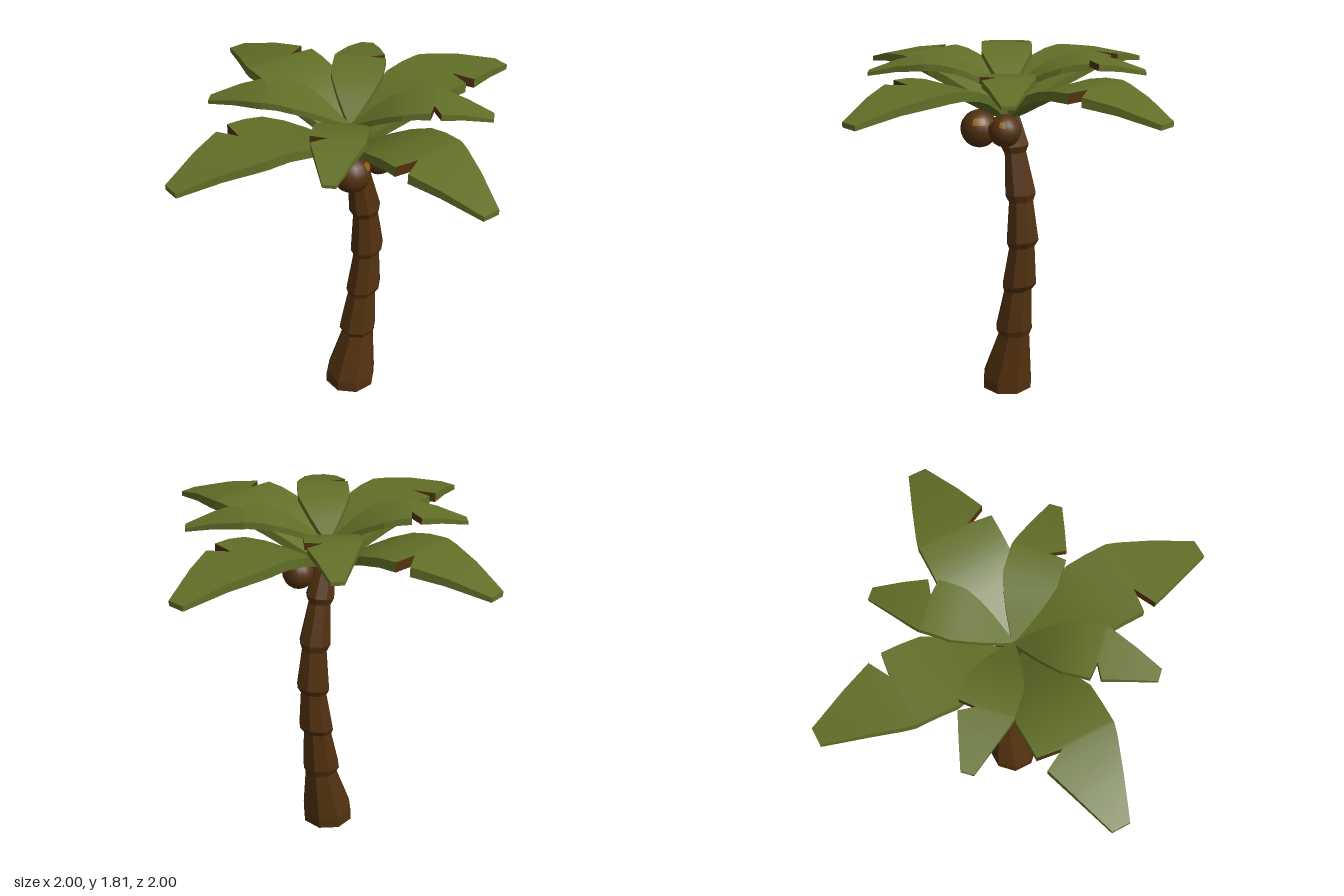
import * as THREE from 'three';

const mat = (name, color, flatShading = false) => {
  const m = new THREE.MeshStandardMaterial({ color, flatShading });
  m.name = name;
  return m;
};

// Trunk rings, bottom to top: height, z of the centre, radius, tilt
const RINGS = [
  [0, 0, 0.138, 0], [0.06, -0.003, 0.138, 0],
  [0.33, -0.055, 0.085, 0.05], [0.365, -0.052, 0.102, 0.05],
  [0.59, -0.08, 0.076, 0.15], [0.625, -0.09, 0.094, 0.15],
  [0.84, -0.108, 0.07, 0.17], [0.875, -0.112, 0.088, 0.17],
  [1.09, -0.1, 0.066, 0.1], [1.13, -0.095, 0.083, 0.1],
  [1.34, -0.058, 0.058, 0.15], [1.375, -0.055, 0.074, 0.15],
  [1.56, -0.005, 0.048, 0],
];

function trunkGeometry() {
  const n = RINGS.length - 1;
  const g = new THREE.CylinderGeometry(1, 1, 1, 8, n, false, Math.PI / 8);
  const p = g.attributes.position;
  for (let i = 0; i < p.count; i++) {
    const [y, z, r, tilt] = RINGS[Math.round((p.getY(i) + 0.5) * n)];
    const pz = p.getZ(i) * r;
    p.setXYZ(i, p.getX(i) * r, y - pz * tilt, z + pz);
  }
  g.computeVertexNormals();
  return g;
}

// Frond cross-sections: distance out, top height, thickness, half width on each side
const SECTIONS = [
  [0, 0.035, 0.045, 0.01, 0.01],
  [0.08, 0.08, 0.045, 0.055, 0.055],
  [0.18, 0.145, 0.045, 0.11, 0.11],
  [0.28, 0.2, 0.045, 0.155, 0.155],
  [0.38, 0.24, 0.045, 0.19, 0.19],
  [0.48, 0.262, 0.048, 0.19, 0.19],
  [0.575, 0.268, 0.05, 0.19, 0.19],
  [0.59, 0.267, 0.05, 0.19, 0.07],
  [0.645, 0.26, 0.048, 0.175, 0.175],
  [0.8, 0.234, 0.04, 0.12, 0.12],
  [1, 0.175, 0.025, 0.045, 0.045],
];
const NOTCH = [6, 7]; // spans that form the tear in the edge

function frondGeometry() {
  const pos = [], leaf = [], torn = [];
  const add = (...pts) => {
    const k = pos.length / 3;
    pts.forEach((q) => pos.push(...q));
    return k;
  };
  const quad = (list, a, b, c, d) => list.push(a, b, c, a, c, d);
  const corners = SECTIONS.map(([x, y, t, a, b]) => ({
    tr: [x, y, -a], tl: [x, y, b], br: [x, y - t, -a], bl: [x, y - t, b],
  }));
  // Smooth top and underside
  const top = corners.map((c) => add(c.tr, c.tl));
  const under = corners.map((c) => add(c.br, c.bl));
  for (let i = 0; i < corners.length - 1; i++) {
    const c = corners[i], d = corners[i + 1];
    quad(leaf, top[i], top[i] + 1, top[i + 1] + 1, top[i + 1]);
    quad(leaf, under[i], under[i + 1], under[i + 1] + 1, under[i] + 1);
    // Sharp side walls
    let k = add(c.bl, d.bl, d.tl, c.tl);
    quad(NOTCH.includes(i) ? torn : leaf, k, k + 1, k + 2, k + 3);
    k = add(d.br, c.br, c.tr, d.tr);
    quad(leaf, k, k + 1, k + 2, k + 3);
  }
  // Blunt tip
  const e = corners[corners.length - 1];
  const k = add(e.bl, e.br, e.tr, e.tl);
  quad(leaf, k, k + 1, k + 2, k + 3);

  const g = new THREE.BufferGeometry();
  g.setAttribute('position', new THREE.Float32BufferAttribute(pos, 3));
  g.setIndex([...leaf, ...torn]);
  g.addGroup(0, leaf.length, 0);
  g.addGroup(leaf.length, torn.length, 1);
  g.computeVertexNormals();
  return g;
}

export function createModel() {
  const model = new THREE.Group();
  model.name = 'palmTree';
  const bark = mat('bark brown', 0x52310f, true);
  const green = mat('leaf green', 0x626f27);
  const shell = mat('coconut brown', 0x50300f);
  const gold = mat('coconut gold', 0x8f5d12);
  const mesh = (parent, name, geometry, material) => {
    const m = new THREE.Mesh(geometry, material);
    m.name = name;
    parent.add(m);
    return m;
  };

  mesh(model, 'trunk', trunkGeometry(), bark);

  // Four long fronds, with four shorter ones above and between them
  const frond = frondGeometry();
  for (let i = 0; i < 8; i++) {
    const small = i % 2 === 1;
    const f = mesh(model, small ? 'upperFrond' : 'lowerFrond', frond, [green, bark]);
    f.rotation.y = (i * Math.PI) / 4;
    f.position.y = small ? 1.627 : 1.5;
    if (small) f.scale.setScalar(0.69);
  }

  // Coconuts, each with small golden patches on the upper half
  const coconut = (x, y, z, r, patchAngles) => {
    const g = new THREE.Group();
    g.name = 'coconut';
    g.position.set(x, y, z);
    model.add(g);
    mesh(g, 'coconutShell', new THREE.SphereGeometry(r, 16, 12), shell);
    for (const a of patchAngles) {
      const patch = new THREE.SphereGeometry(
        r * 1.015, 2, 2, a * (Math.PI / 8), Math.PI / 8, Math.PI / 4, Math.PI / 8);
      mesh(g, 'coconutPatch', patch, gold);
    }
  };
  coconut(0.118, 1.46, 0.08, 0.096, [2, 4, 9, 10]);
  coconut(0.11, 1.48, -0.092, 0.082, [5, 6, 9]);

  return model;
}
